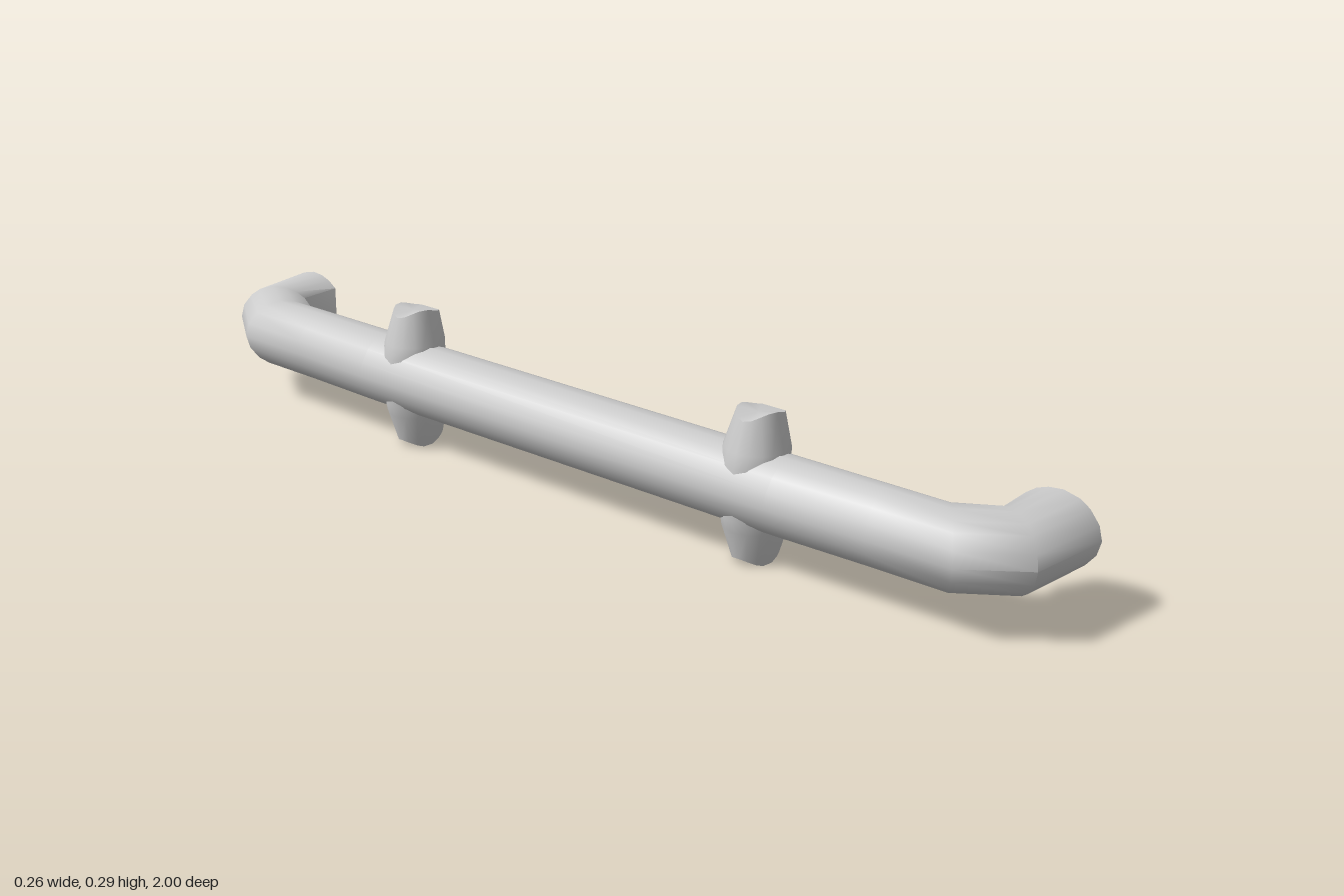
import * as THREE from 'three';
import { toCreasedNormals } from 'three/addons/utils/BufferGeometryUtils.js';

// D-shaped section: u = 0 flat side .. 1 round side, v = -1 .. 1
const half = [[0, 0.66], [0.13, 0.85], [0.28, 0.96], [0.47, 1], [0.69, 0.89], [0.82, 0.71], [0.95, 0.38]];
const section = [...half.map(([u, v]) => [u, -v]), [1, 0], ...half.slice().reverse()];
const midY = 0.1375;

// Skins closed rings of points and caps both ends
function loft(rings, crease) {
  const n = section.length, pos = [], idx = [];
  rings.forEach(r => r.forEach(p => pos.push(p.x, p.y, p.z)));
  for (let i = 0; i < rings.length - 1; i++) {
    for (let j = 0; j < n; j++) {
      const a = i * n + j, b = i * n + (j + 1) % n;
      idx.push(a, a + n, b, b, a + n, b + n);
    }
  }
  [0, rings.length - 1].forEach(i => {
    const c = new THREE.Vector3();
    rings[i].forEach(p => c.addScaledVector(p, 1 / n));
    const k = pos.length / 3;
    pos.push(c.x, c.y, c.z);
    for (let j = 0; j < n; j++) {
      const a = i * n + j, b = i * n + (j + 1) % n;
      idx.push(k, ...(i === 0 ? [a, b] : [b, a]));
    }
  });
  const g = new THREE.BufferGeometry();
  g.setAttribute('position', new THREE.Float32BufferAttribute(pos, 3));
  g.setIndex(idx);
  return toCreasedNormals(g, crease);
}

export function createModel() {
  const group = new THREE.Group();
  const material = new THREE.MeshStandardMaterial({ color: 0xcccccc });
  const add = (name, geometry) => {
    const mesh = new THREE.Mesh(geometry, material);
    mesh.name = name;
    group.add(mesh);
    return mesh;
  };

  // Bar with both ends bent over: inner x, inner z, outer x, outer z per station
  const stations = [
    [0.13, 0.855, 0.13, 1],
    [0.04, 0.855, -0.04, 0.975],
    [0, 0.785, -0.12, 0.865],
    [0, 0.68, -0.122, 0.7],
    [0, 0.5, -0.13, 0.5],
  ];
  const mirrored = stations.map(([a, b, c, d]) => [a, -b, c, -d]);
  const path = [...mirrored, ...stations.slice().reverse()];
  add('handleBar', loft(path.map(([ix, iz, ox, oz]) => section.map(([u, v]) =>
    new THREE.Vector3(ix + (ox - ix) * u, midY + 0.0725 * v, iz + (oz - iz) * u))), 0.85));

  // Tapered lugs crossing the bar: height from bar centre, depth, half width, arch of the tip
  const levels = [[0.05, 0.115, 0.06, 0], [0.075, 0.108, 0.06, 0], [0.131, 0.092, 0.038, 0.0145]];
  const lugPath = [
    ...levels.slice().reverse().map(l => [-1, ...l]),
    ...levels.map(l => [1, ...l]),
  ];
  const lugGeometry = loft(lugPath.map(([s, h, depth, w, arch]) => section.map(([u, v]) =>
    new THREE.Vector3(-depth * u, midY + s * (h + arch * Math.sin(Math.PI * Math.pow(u, 1.4))), -w * v))), 0.7);
  for (const z of [0.425, -0.425]) {
    add(z > 0 ? 'frontLug' : 'rearLug', lugGeometry).position.z = z;
  }
  return group;
}
